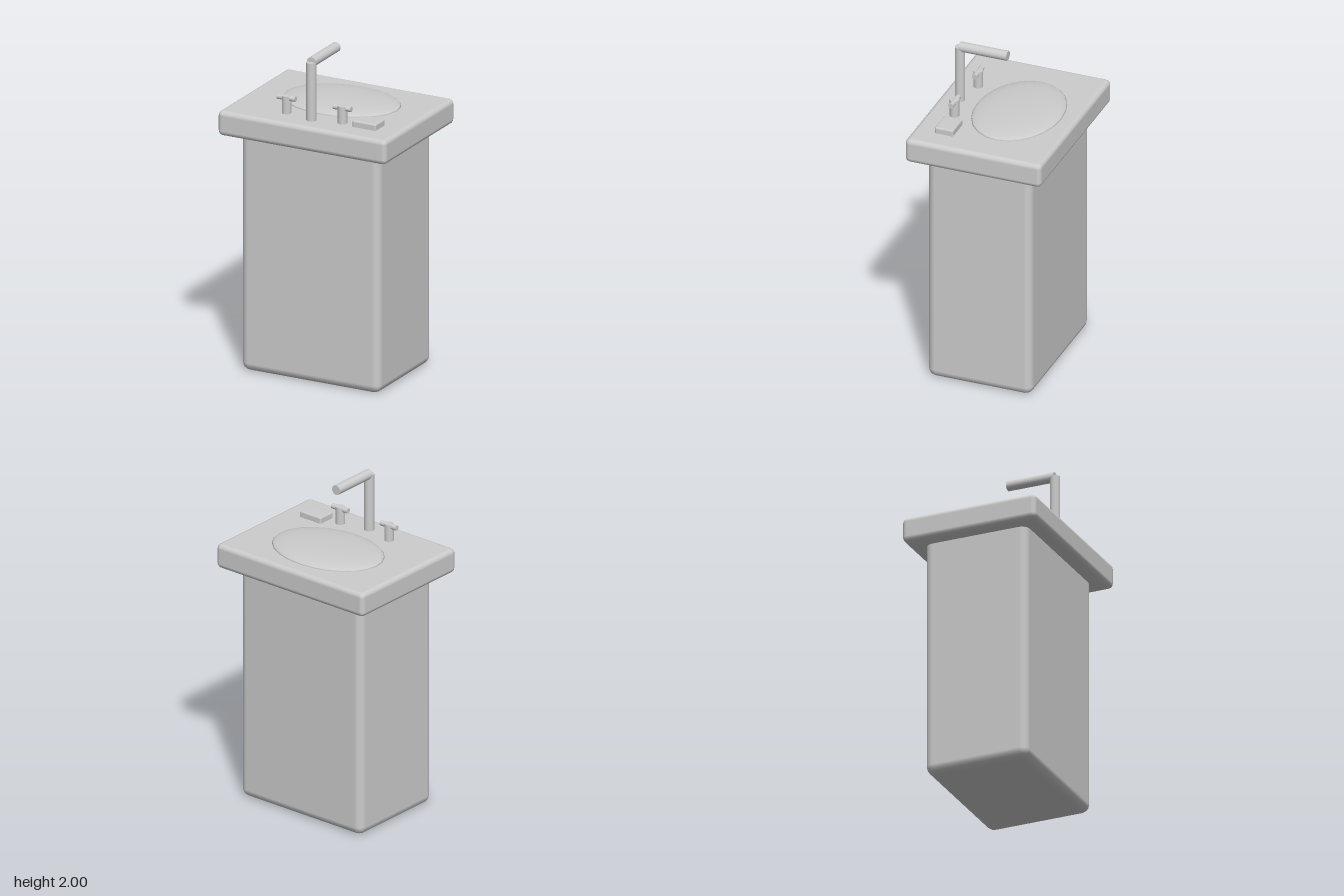
import * as THREE from 'three';
import { RoundedBoxGeometry } from 'three/addons/geometries/RoundedBoxGeometry.js';

export function createModel() {
  const model = new THREE.Group();
  model.name = 'washstand';
  const grey = new THREE.MeshStandardMaterial({ color: 0xcccccc });
  grey.name = 'grey';

  const add = (name, geometry, x, y, z, parent = model) => {
    const mesh = new THREE.Mesh(geometry, grey);
    mesh.name = name;
    mesh.position.set(x, y, z);
    parent.add(mesh);
    return mesh;
  };
  const rod = (radius, length) => new THREE.CylinderGeometry(radius, radius, length, 24);

  const deck = 1.615; // height of the countertop surface

  // Cabinet and overhanging countertop
  add('cabinet', new RoundedBoxGeometry(0.914, 1.53, 0.652, 2, 0.05), 0, 0.768, 0);
  add('countertop', new RoundedBoxGeometry(1.11, 0.152, 0.85, 2, 0.03), 0, 1.539, 0);

  // Shallow oval dome of the basin
  const dome = new THREE.SphereGeometry(1, 24, 16).scale(0.366, 0.034, 0.262);
  add('basin', dome, 0, deck, -0.07);

  // Tap: upright column and horizontal spout
  const tap = new THREE.Group();
  tap.name = 'tap';
  model.add(tap);
  add('tapColumn', rod(0.03, 0.37), 0, 1.785, 0.3, tap);
  add('tapSpout', rod(0.03, 0.3).rotateX(Math.PI / 2), 0, 1.97, 0.15, tap);

  // Pair of handles: stem with a crossbar
  for (const side of [-1, 1]) {
    const handle = new THREE.Group();
    handle.name = side > 0 ? 'leftHandle' : 'rightHandle';
    handle.position.set(side * 0.184, 0, 0.26);
    model.add(handle);
    add('handleStem', rod(0.028, 0.12), 0, 1.661, 0, handle);
    add('handleBar', rod(0.016, 0.118).rotateZ(Math.PI / 2), 0, 1.708, 0, handle);
  }

  // Soap bar beside the left handle
  add('soap', new RoundedBoxGeometry(0.155, 0.046, 0.115, 2, 0.01), 0.341, 1.63, 0.233);

  return model;
}
